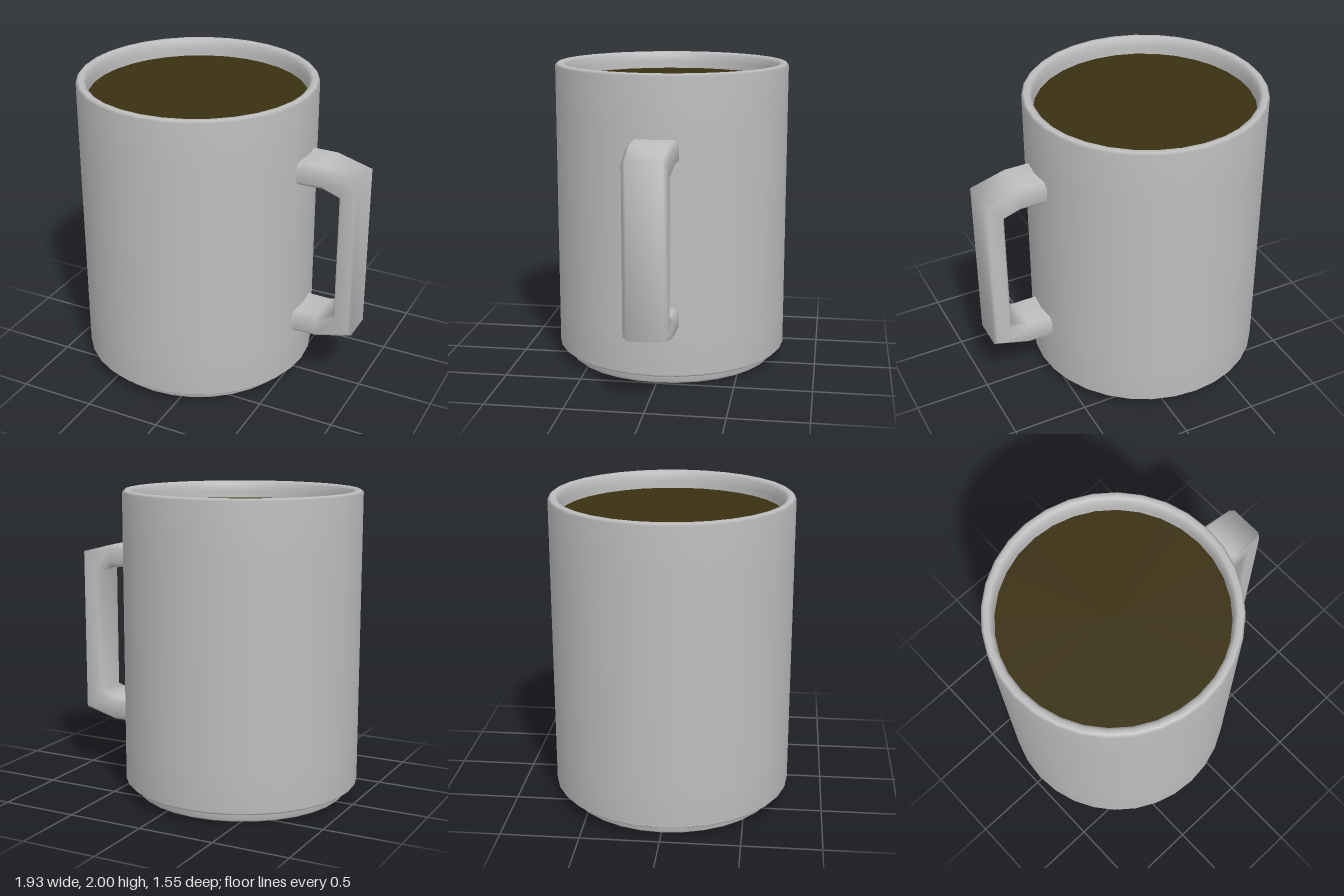
import * as THREE from 'three';

const SIDES = 32;
const CENTER_X = -0.196;

// Closed handle skin: one bevelled rectangle per station along the path
function handleGeometry() {
  // outer x, outer y, inner x, inner y, half width
  const upper = [
    [0.53, 1.6, 0.53, 1.45, 0.155],
    [0.6, 1.6, 0.6, 1.45, 0.15],
    [0.727, 1.6, 0.727, 1.45, 0.148],
    [0.963, 1.54, 0.837, 1.405, 0.137],
  ];
  const mirrorY = ([ox, oy, ix, iy, w]) => [ox, 1.98 - oy, ix, 1.98 - iy, w];
  const stations = [...upper, ...upper.map(mirrorY).reverse()];
  const positions = [];
  const indices = [];
  const bevel = 0.028;
  for (const [ox, oy, ix, iy, w] of stations) {
    const t = bevel / Math.hypot(ix - ox, iy - oy);
    const ring = [
      [0, bevel - w], [0, w - bevel], [t, w], [1 - t, w],
      [1, w - bevel], [1, bevel - w], [1 - t, -w], [t, -w],
    ];
    for (const [s, z] of ring) positions.push(ox + (ix - ox) * s, oy + (iy - oy) * s, z);
  }
  for (let i = 0; i < stations.length - 1; i++) {
    for (let j = 0; j < 8; j++) {
      const a = i * 8 + j;
      const b = i * 8 + ((j + 1) % 8);
      indices.push(a, b, a + 8, b, b + 8, a + 8);
    }
  }
  const geometry = new THREE.BufferGeometry();
  geometry.setAttribute('position', new THREE.Float32BufferAttribute(positions, 3));
  geometry.setIndex(indices);
  geometry.computeVertexNormals();
  return geometry;
}

export function createModel() {
  const group = new THREE.Group();
  // The cup is an open shell, so both sides show
  const ceramic = new THREE.MeshStandardMaterial({ color: 0xbdbdbd, side: THREE.DoubleSide });
  ceramic.name = 'grey ceramic';
  const coffee = new THREE.MeshStandardMaterial({ color: 0x3a3012, side: THREE.DoubleSide });
  coffee.name = 'dark coffee';

  const add = (name, geometry, material, x = 0, y = 0) => {
    const mesh = new THREE.Mesh(geometry, material);
    mesh.name = name;
    mesh.position.set(x, y, 0);
    group.add(mesh);
  };

  // Hollow underside, foot ring, outer wall, rounded rim and inner wall in one profile
  const profile = [
    [0.648, 0.65], [0.648, 0.3], [0.648, 0.02], [0.66, 0], [0.685, 0],
    [0.702, 0.015], [0.702, 0.06], [0.707, 0.07],
    [0.758, 0.07], [0.773, 0.085], [0.773, 0.36], [0.773, 1.65], [0.773, 1.985],
    [0.758, 2], [0.73, 2], [0.71, 1.982], [0.706, 1.93], [0.704, 1.87],
  ].map(([r, y]) => new THREE.Vector2(r, y));
  add('cupBody', new THREE.LatheGeometry(profile, SIDES), ceramic, CENTER_X);

  // Drink surface just below the rim
  const surface = new THREE.CircleGeometry(0.706, SIDES);
  surface.rotateX(-Math.PI / 2);
  add('coffeeSurface', surface, coffee, CENTER_X, 1.885);

  add('handle', handleGeometry(), ceramic);
  return group;
}
